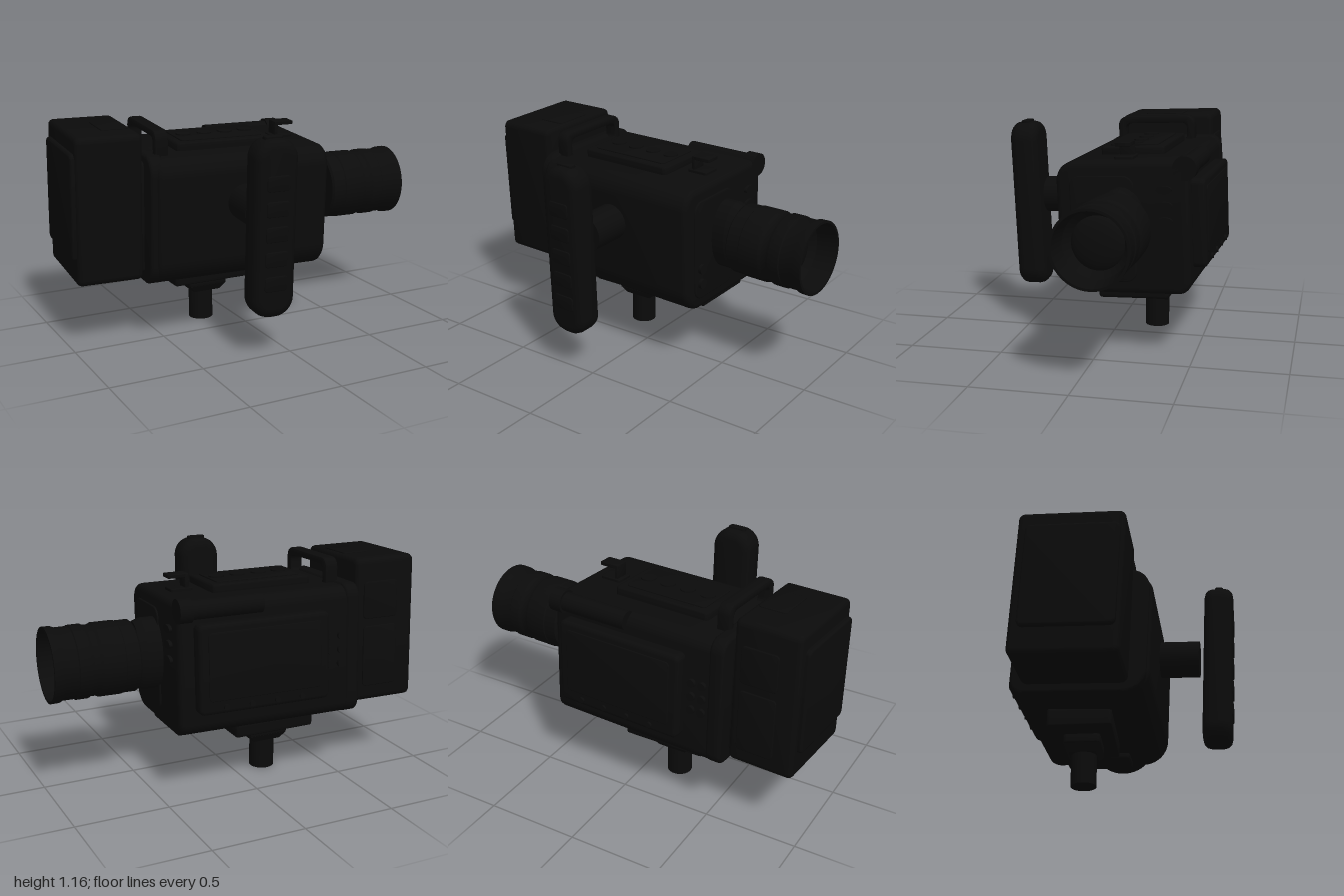
import * as THREE from 'three';
import { toCreasedNormals } from 'three/addons/utils/BufferGeometryUtils.js';

const black = new THREE.MeshStandardMaterial({ color: 0x0b0b0b, side: THREE.DoubleSide });
black.name = 'matte black';

function add(parent, name, geo, x = 0, y = 0, z = 0) {
  const m = new THREE.Mesh(geo, black);
  m.name = name;
  m.position.set(x, y, z);
  parent.add(m);
  return m;
}

// Rounded rectangle centred on the origin; radii: bottom left, bottom right, top right, top left
function roundedRect(w, h, radii) {
  const [a, b, c, d] = Array.isArray(radii) ? radii : [radii, radii, radii, radii];
  const s = new THREE.Shape(), X = w / 2, Y = h / 2;
  s.absarc(-X + a, -Y + a, a, Math.PI, Math.PI * 1.5);
  s.absarc(X - b, -Y + b, b, Math.PI * 1.5, Math.PI * 2);
  s.absarc(X - c, Y - c, c, 0, Math.PI / 2);
  s.absarc(-X + d, Y - d, d, Math.PI / 2, Math.PI);
  s.closePath();
  return s;
}

// Bevelled block between two corners, its rounded outline swept along the given axis
function block(parent, name, axis, [x0, x1], [y0, y1], [z0, z1], radii, bevel = 0.01) {
  const sx = x1 - x0, sy = y1 - y0, sz = z1 - z0;
  const [w, h, d] = axis === 'x' ? [sz, sy, sx] : axis === 'y' ? [sx, sz, sy] : [sx, sy, sz];
  let g = new THREE.ExtrudeGeometry(roundedRect(w, h, radii), {
    depth: d - 2 * bevel, bevelThickness: bevel, bevelSize: bevel, bevelOffset: -bevel,
    bevelSegments: 3, curveSegments: 8,
  });
  g.translate(0, 0, bevel - d / 2);
  if (axis === 'x') g.rotateY(Math.PI / 2);
  if (axis === 'y') g.rotateX(-Math.PI / 2);
  g = toCreasedNormals(g, 0.6);
  return add(parent, name, g, (x0 + x1) / 2, (y0 + y1) / 2, (z0 + z1) / 2);
}

// Round part lying along an axis
function rod(parent, name, axis, r, len, x, y, z, r2 = r) {
  const g = new THREE.CylinderGeometry(r, r2, len, 32);
  if (axis === 'x') g.rotateZ(-Math.PI / 2);
  if (axis === 'z') g.rotateX(Math.PI / 2);
  return add(parent, name, g, x, y, z);
}

function buildBody(p) {
  block(p, 'body', 'x', [-0.57, 0.41], [0.335, 1.02], [-0.345, 0.345], [0.14, 0.07, 0.07, 0.1], 0.03);
  block(p, 'rearFlange', 'x', [-0.6, -0.52], [0.335, 1.03], [-0.35, 0.33], [0.12, 0.07, 0.07, 0.1], 0.015);
  block(p, 'frontFoot', 'x', [0.2, 0.38], [0.303, 0.36], [-0.22, 0.15], 0.02, 0.015);

  // Top plate with four buttons
  block(p, 'topPlate', 'y', [-0.4, 0.15], [1.0, 1.062], [-0.17, 0.17], 0.02, 0.01);
  block(p, 'topInset', 'y', [-0.36, 0.11], [1.06, 1.069], [-0.13, 0.13], 0.02, 0.003);
  for (let i = 0; i < 4; i++) rod(p, 'topButton', 'y', 0.04, 0.014, -0.3 + i * 0.12, 1.069, 0.0);

  // Small hook on top
  block(p, 'hookBase', 'y', [0.21, 0.33], [1.01, 1.035], [-0.05, 0.05], 0.01, 0.004);
  block(p, 'hookPost', 'y', [0.23, 0.25], [1.02, 1.108], [-0.04, 0.04], 0.005, 0.003);
  block(p, 'hookTip', 'y', [0.23, 0.34], [1.088, 1.108], [-0.04, 0.04], 0.005, 0.003);

  // Carry loop across the rear of the top
  const loop = roundedRect(0.45, 0.18, [0.02, 0.02, 0.05, 0.05]);
  loop.holes.push(roundedRect(0.36, 0.1, 0.03));
  const lg = new THREE.ExtrudeGeometry(loop, {
    depth: 0.05, bevelThickness: 0.012, bevelSize: 0.012, bevelOffset: -0.012, bevelSegments: 2, curveSegments: 8,
  });
  lg.translate(0, 0, -0.025).rotateY(Math.PI / 2);
  add(p, 'carryLoop', toCreasedNormals(lg, 0.6), -0.51, 1.06, 0.015);

  // Side door on the back with its buttons
  block(p, 'sideDoor', 'z', [-0.39, 0.33], [0.46, 0.92], [-0.415, -0.33], 0.03, 0.02);
  block(p, 'sideDoorPanel', 'z', [-0.34, 0.28], [0.53, 0.88], [-0.42, -0.41], 0.02, 0.003);
  for (let i = 0; i < 4; i++) rod(p, 'doorButton', 'z', 0.015, 0.02, -0.23 + i * 0.14, 0.495, -0.416);
  for (let i = 0; i < 3; i++) {
    for (const x of [-0.49, -0.43]) rod(p, 'sideButton', 'z', 0.022, 0.025, x, 0.62 + i * 0.075, -0.35);
  }

  // Tube along the upper back edge
  rod(p, 'sideTube', 'x', 0.05, 0.4, 0.16, 0.985, -0.33);
  rod(p, 'sideTubeCap', 'x', 0.062, 0.07, 0.375, 0.985, -0.33);

  // Front face controls
  block(p, 'frontPlate', 'x', [0.4, 0.418], [0.4, 0.95], [-0.07, 0.27], 0.06, 0.006);
  for (let i = 0; i < 3; i++) {
    const b = rod(p, 'frontButton', 'x', 0.02, 0.03, 0.412, 0.72 + i * 0.08, -0.225);
    b.scale.z = 2;
  }
  for (const y of [0.49, 0.575]) rod(p, 'frontKnob', 'x', 0.027, 0.03, 0.42, y, 0.22);
}

function buildLens(p) {
  // Oval mount behind the barrel
  const mount = new THREE.Group();
  mount.name = 'lensMount';
  mount.position.set(0, 0.705, 0);
  mount.scale.z = 0.66;
  p.add(mount);
  rod(mount, 'mountRing', 'x', 0.19, 0.08, 0.45, 0, 0);
  rod(mount, 'mountLip', 'x', 0.175, 0.04, 0.51, 0, 0, 0.19);

  // Hollow barrel, listed as radius and distance along the axis
  const profile = [
    [0, 0.54], [0.175, 0.54], [0.186, 0.55], [0.186, 0.62], [0.19, 0.625], [0.19, 0.74], [0.182, 0.755],
    [0.182, 0.785], [0.19, 0.8], [0.19, 0.86], [0.185, 0.865], [0.185, 0.93], [0.194, 0.95],
    [0.195, 0.99], [0.182, 0.99], [0.165, 0.88], [0.13, 0.84],
  ].map(([r, x]) => new THREE.Vector2(r, x));
  const g = toCreasedNormals(new THREE.LatheGeometry(profile, 48), 0.5);
  g.rotateZ(-Math.PI / 2);
  add(p, 'lensBarrel', g, 0, 0.705, 0);

  // Shallow domed glass
  const glass = new THREE.SphereGeometry(0.135, 32, 12, 0, Math.PI * 2, 0, Math.PI / 2);
  glass.scale(1, 0.3, 1).rotateZ(-Math.PI / 2);
  add(p, 'lensGlass', glass, 0.835, 0.705, 0);
}

function buildBattery(p) {
  block(p, 'batteryMount', 'x', [-0.66, -0.56], [0.39, 0.99], [-0.25, 0.22], 0.03);
  block(p, 'battery', 'x', [-0.965, -0.615], [0.365, 1.145], [-0.285, 0.25], 0.035, 0.025);
  block(p, 'batteryEndPanel', 'x', [-0.988, -0.95], [0.5, 1.06], [-0.24, 0.23], 0.03, 0.012);
  block(p, 'batteryTopPanel', 'y', [-0.79, -0.64], [1.14, 1.151], [-0.11, 0.11], 0.015, 0.004);
  block(p, 'batterySidePanel', 'z', [-0.86, -0.66], [0.45, 0.78], [-0.293, -0.28], 0.02, 0.004);
  block(p, 'batterySideLatch', 'z', [-0.86, -0.66], [0.82, 1.02], [-0.293, -0.28], 0.02, 0.004);
}

function buildGrip(p) {
  rod(p, 'gripArm', 'z', 0.098, 0.24, -0.083, 0.765, 0.435);
  block(p, 'grip', 'z', [-0.205, 0.028], [0.25, 1.175], [0.58, 0.735], 0.1, 0.045);
  block(p, 'gripTopButton', 'y', [-0.14, -0.04], [1.16, 1.185], [0.635, 0.68], 0.015, 0.006);
  for (let i = 0; i < 5; i++) {
    const y = 0.4 + i * 0.13;
    block(p, 'fingerPad', 'z', [-0.15, -0.027], [y, y + 0.08], [0.725, 0.74], 0.015, 0.004);
  }
}

function buildMount(p) {
  block(p, 'mountPlate', 'y', [-0.4, 0.06], [0.25, 0.345], [-0.38, -0.05], 0.015, 0.008);
  block(p, 'mountBlock', 'y', [-0.285, -0.055], [0.205, 0.26], [-0.31, -0.12], 0.02, 0.006);
  // Tapered collar under the block
  const collar = new THREE.CylinderGeometry(0.15, 0.11, 0.04, 4, 1);
  collar.rotateY(Math.PI / 4);
  add(p, 'mountCollar', toCreasedNormals(collar, 0.4), -0.17, 0.187, -0.215).scale.z = 0.9;
  rod(p, 'mountPost', 'y', 0.067, 0.2, -0.178, 0.1, -0.213);
}

export function createModel() {
  const model = new THREE.Group();
  model.name = 'videoCamera';

  // The camera sits slightly turned and tilted on its upright post
  const tilt = new THREE.Group();
  tilt.name = 'tiltHead';
  tilt.position.set(0, 0.7, -0.15);
  tilt.rotation.set(0.045, -0.05, 0);
  const camera = new THREE.Group();
  camera.name = 'cameraUnit';
  camera.position.y = -0.7;
  tilt.add(camera);
  model.add(tilt);

  buildBody(camera);
  buildLens(camera);
  buildBattery(camera);
  buildGrip(camera);
  buildMount(model);
  return model;
}
